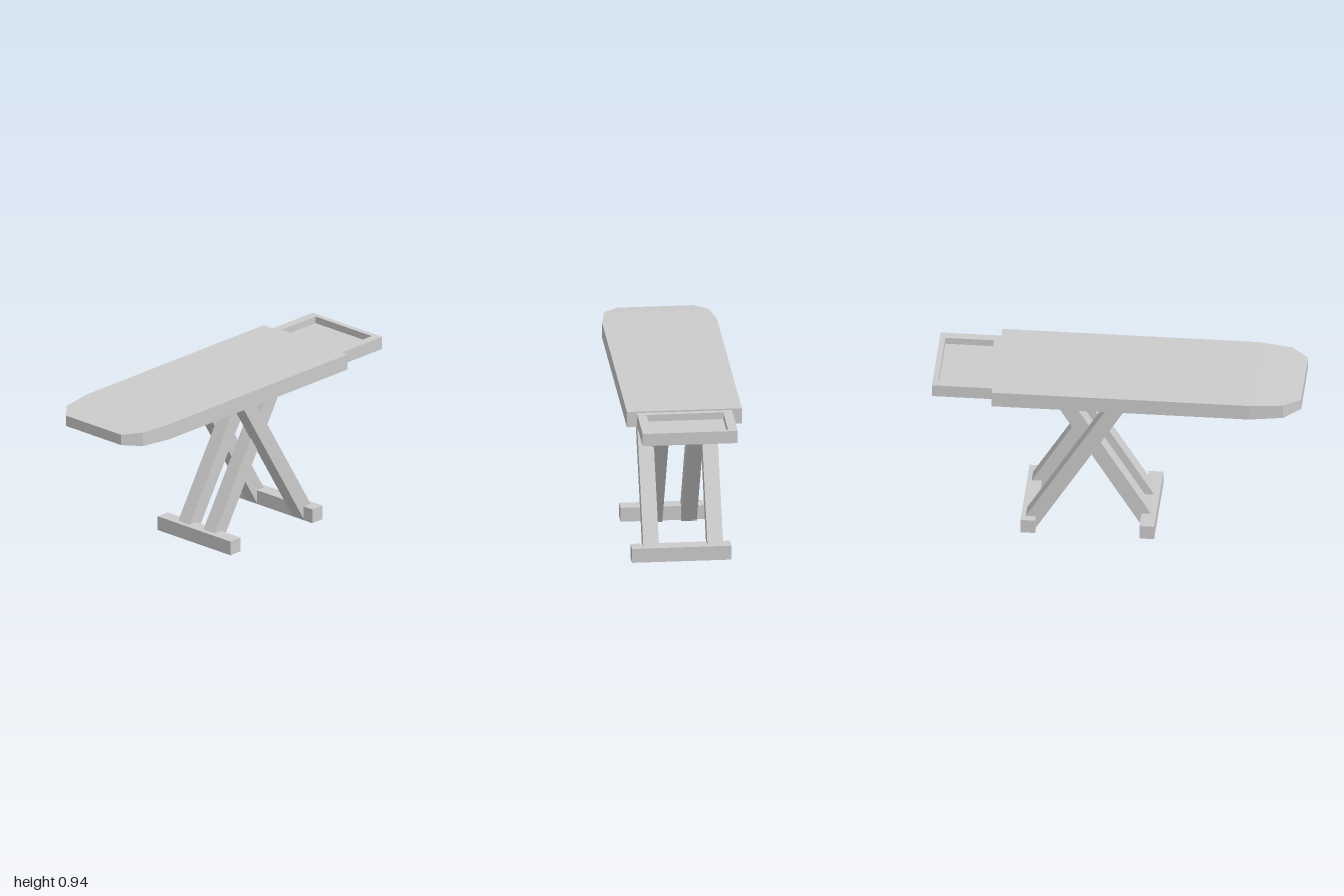
import * as THREE from 'three';

const material = new THREE.MeshStandardMaterial({ color: 0xcccccc, flatShading: true });

function addMesh(parent, name, geometry, x = 0, y = 0, z = 0) {
  const mesh = new THREE.Mesh(geometry, material);
  mesh.name = name;
  mesh.position.set(x, y, z);
  parent.add(mesh);
  return mesh;
}

// Joins rectangular cross-sections [z, halfWidth, bottom, top], ordered back to front
function loftGeometry(sections) {
  const rings = sections.map(([z, w, lo, hi]) => [[-w, lo, z], [w, lo, z], [w, hi, z], [-w, hi, z]]);
  const points = [];
  const quad = (a, b, c, d) => points.push(...a, ...b, ...c, ...a, ...c, ...d);
  for (let i = 0; i < rings.length - 1; i++) {
    for (let j = 0; j < 4; j++) {
      const k = (j + 1) % 4;
      quad(rings[i][j], rings[i][k], rings[i + 1][k], rings[i + 1][j]);
    }
  }
  const [a, b, c, d] = rings[0];
  quad(d, c, b, a);
  quad(...rings[rings.length - 1]);
  const geometry = new THREE.BufferGeometry();
  geometry.setAttribute('position', new THREE.Float32BufferAttribute(points, 3));
  geometry.computeVertexNormals();
  return geometry;
}

// Closed rectangle outline in the x/z plane (shape y becomes -z)
function rectangle(Type, x0, x1, z0, z1) {
  return new Type([[x0, -z1], [x1, -z1], [x1, -z0], [x0, -z0]].map(p => new THREE.Vector2(...p)));
}

export function createModel() {
  const model = new THREE.Group();
  model.name = 'ironingBoard';

  // Padded top with tapered nose
  addMesh(model, 'boardTop', loftGeometry([
    [-0.67, 0.312, 0.848, 0.936],
    [0.73, 0.312, 0.848, 0.936],
    [0.91, 0.284, 0.852, 0.931],
    [1.0, 0.205, 0.862, 0.922],
  ]));

  // Iron rest: a floor with a raised rim
  const rest = new THREE.Group();
  rest.name = 'ironRest';
  model.add(rest);
  const rim = rectangle(THREE.Shape, -0.258, 0.258, -1, -0.66);
  rim.holes.push(rectangle(THREE.Path, -0.208, 0.208, -0.97, -0.705));
  const rimGeometry = new THREE.ExtrudeGeometry(rim, { depth: 0.038, bevelEnabled: false });
  rimGeometry.rotateX(-Math.PI / 2);
  addMesh(rest, 'restRim', rimGeometry, 0, 0.89, 0);
  addMesh(rest, 'restFloor', new THREE.BoxGeometry(0.516, 0.032, 0.34), 0, 0.874, -0.83);

  // Crossed leg frames, mirrored about the crossing plane
  const crossZ = -0.155, tilt = 0.548, length = 1.02, thickness = 0.085;
  const frames = [
    { name: 'inner', side: 1, xs: [-0.102, 0.085], lift: 0 },
    { name: 'outer', side: -1, xs: [-0.185, 0.163], lift: 0.006 },
  ];
  for (const { name, side, xs, lift } of frames) {
    const frame = new THREE.Group();
    frame.name = name + 'LegFrame';
    model.add(frame);
    for (const x of xs) {
      const y = 0.022 + lift + Math.cos(tilt) * length / 2;
      const z = crossZ + side * (0.326 - Math.sin(tilt) * length / 2);
      const leg = addMesh(frame, name + 'Leg', new THREE.BoxGeometry(thickness, length, thickness), x, y, z);
      leg.rotation.x = -side * tilt;
    }
    addMesh(frame, name + 'Foot', new THREE.BoxGeometry(0.54, 0.08, 0.08), 0, 0.05, crossZ + side * 0.323);
  }
  return model;
}
